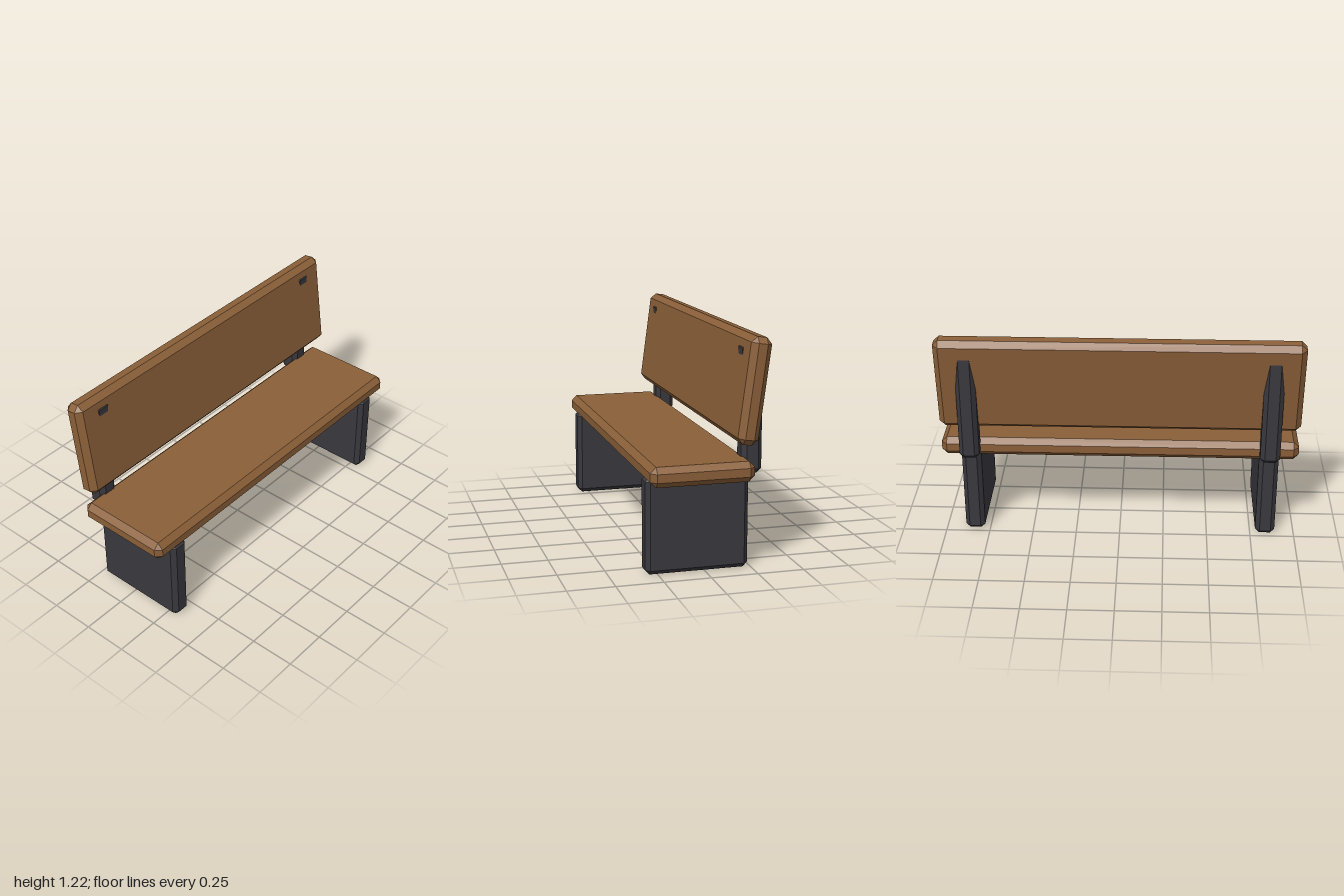
import * as THREE from 'three';
import { ConvexGeometry } from 'three/addons/geometries/ConvexGeometry.js';

const wood = new THREE.MeshStandardMaterial({ color: 0x8a5f38 });
wood.name = 'brown wood';
const metal = new THREE.MeshStandardMaterial({ color: 0x39383e });
metal.name = 'dark metal';

// Box with every edge cut by a flat chamfer c and triangular corners
function chamferBox(name, material, w, h, d, c) {
  const points = [];
  for (const x of [-1, 1]) for (const y of [-1, 1]) for (const z of [-1, 1]) {
    for (const axis of [0, 1, 2]) {
      const inset = [c, c, c];
      inset[axis] = 0;
      points.push(new THREE.Vector3(
        x * (w / 2 - inset[0]), y * (h / 2 - inset[1]), z * (d / 2 - inset[2])));
    }
  }
  const mesh = new THREE.Mesh(new ConvexGeometry(points), material);
  mesh.name = name;
  return mesh;
}

export function createModel() {
  const bench = new THREE.Group();
  bench.name = 'bench';

  // Seat plank
  const seat = chamferBox('seat', wood, 2, 0.107, 0.55, 0.031);
  seat.position.set(0, 0.537, 0.04);
  bench.add(seat);

  // Backrest plank, leaning backwards
  const backrest = chamferBox('backrest', wood, 2, 0.552, 0.11, 0.031);
  backrest.position.set(0, 0.947, -0.228);
  backrest.rotation.x = -0.132;
  bench.add(backrest);

  // Slab legs and upright posts, one pair on each side
  for (const [side, s] of [['left', 1], ['right', -1]]) {
    const leg = chamferBox(side + 'Leg', metal, 0.11, 0.515, 0.55, 0.024);
    leg.position.set(s * 0.835, 0.2575, 0.04);
    const post = chamferBox(side + 'BackPost', metal, 0.11, 0.674, 0.11, 0.024);
    post.position.set(s * 0.835, 0.838, -0.25);
    bench.add(leg, post);
  }
  return bench;
}
